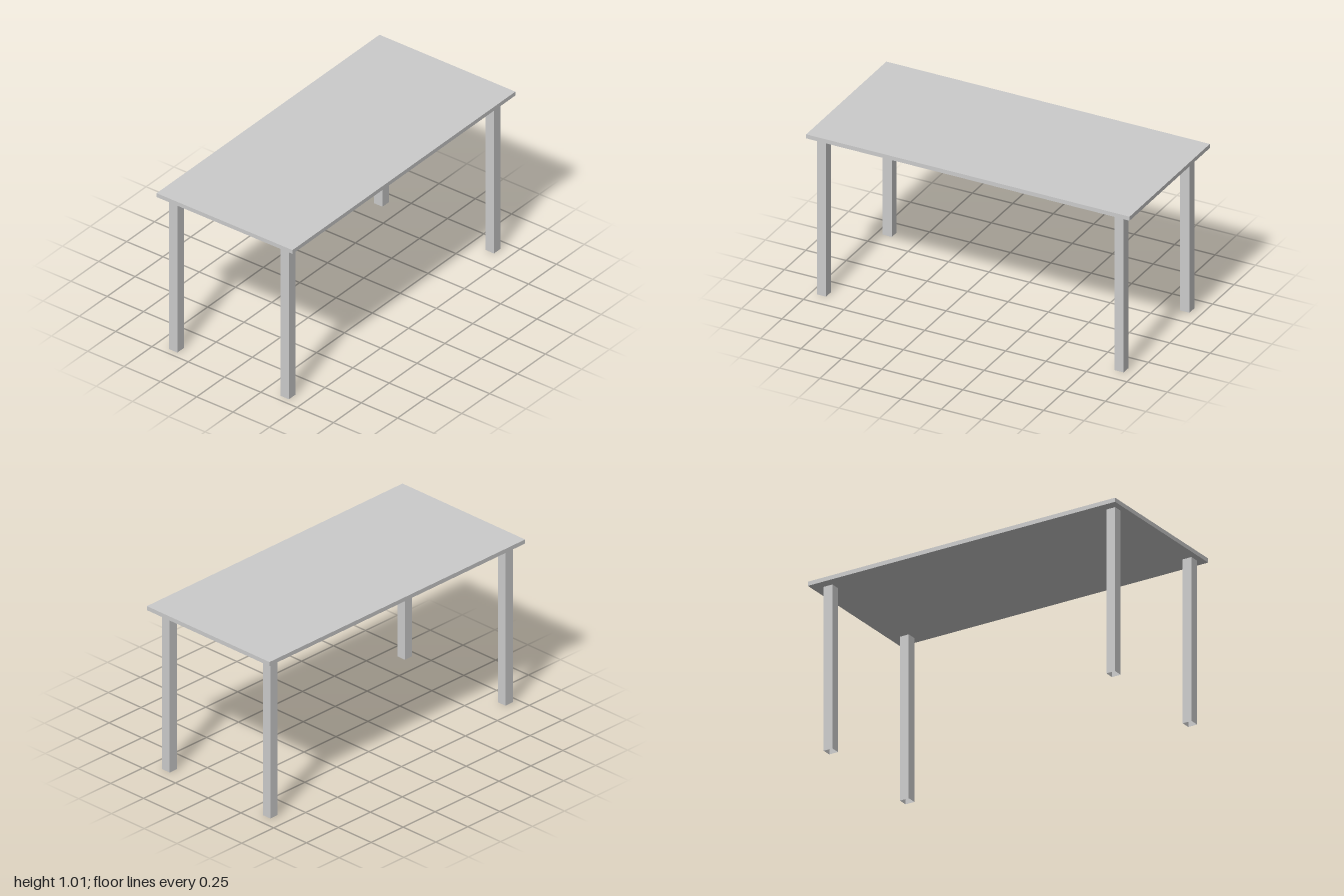
import * as THREE from 'three';

const LEG_WIDTH = 0.057;
const LEG_HEIGHT = 0.988;
const TOP_THICKNESS = 0.025;

export function createModel() {
  const table = new THREE.Group();
  table.name = 'table';

  // Thin rectangular slab
  const top = new THREE.Mesh(
    new THREE.BoxGeometry(0.936, TOP_THICKNESS, 2),
    new THREE.MeshStandardMaterial({ color: 0xcccccc })
  );
  top.name = 'tableTop';
  top.position.y = LEG_HEIGHT + TOP_THICKNESS / 2;
  table.add(top);

  // Square hollow legs, open at the foot
  const legGeometry = new THREE.CylinderGeometry(
    LEG_WIDTH / Math.SQRT2, LEG_WIDTH / Math.SQRT2, LEG_HEIGHT, 4, 1, true, Math.PI / 4
  );
  const legMaterial = new THREE.MeshStandardMaterial({
    color: 0xcccccc, flatShading: true, side: THREE.DoubleSide
  });

  // The legs sit slightly off centre under the top
  for (const [endName, z] of [['front', 0.934], ['back', -0.906]]) {
    for (const [sideName, x] of [['Left', 0.386], ['Right', -0.382]]) {
      const leg = new THREE.Mesh(legGeometry, legMaterial);
      leg.name = `${endName}${sideName}Leg`;
      leg.position.set(x, LEG_HEIGHT / 2, z);
      table.add(leg);
    }
  }

  return table;
}
